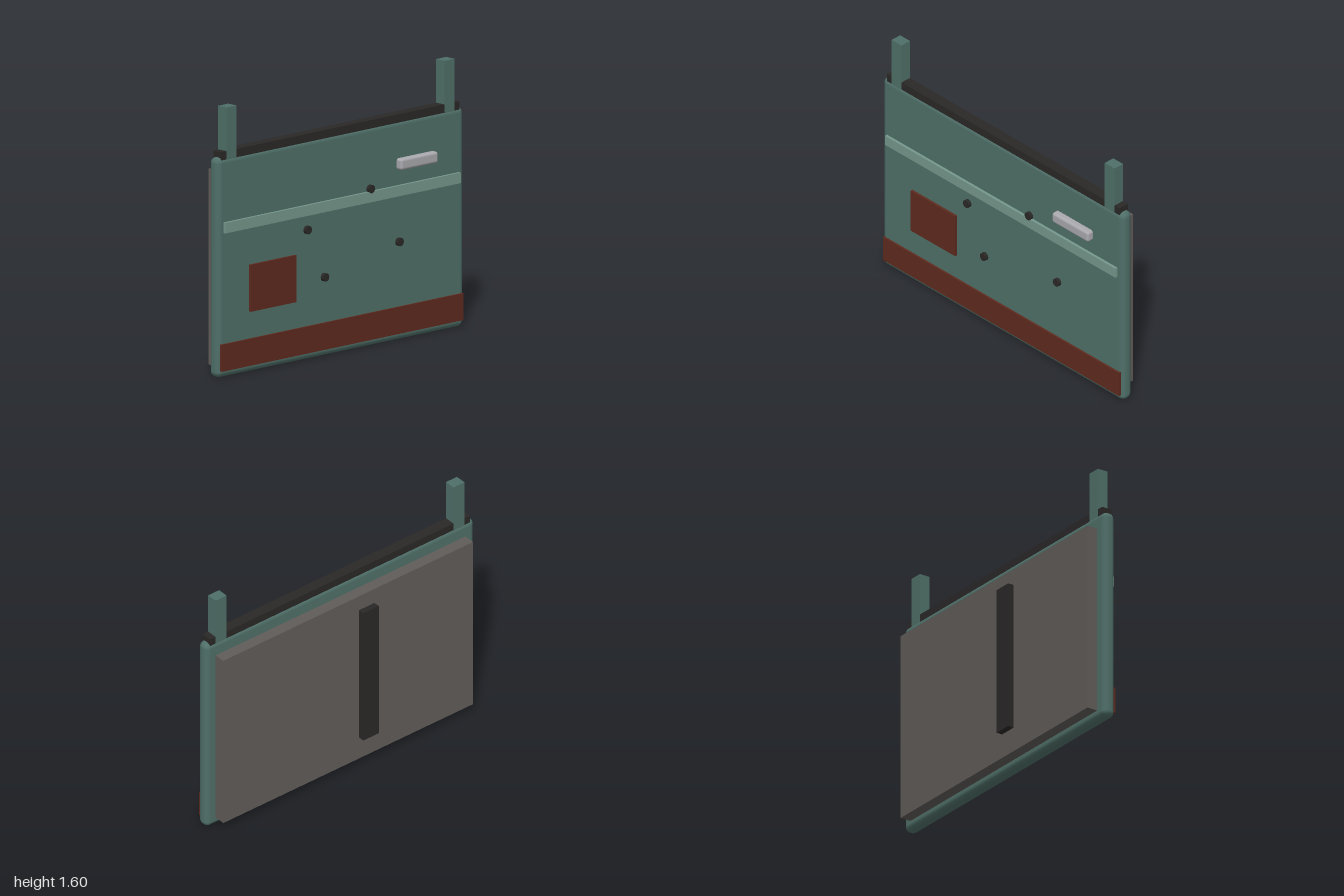
import * as THREE from 'three';
import { RoundedBoxGeometry } from 'three/addons/geometries/RoundedBoxGeometry.js';

const paint = (color) => new THREE.MeshStandardMaterial({ color });
const green = paint(0x4f6f68);
const paleGreen = paint(0x76988c);
const rust = paint(0x5e2a1e);
const rubber = paint(0x2a2827);
const lining = paint(0x605c59);
const metal = paint(0xa9a9ae);

export function createModel() {
  const model = new THREE.Group();

  // Box given by its [min, max] extents; a radius rounds its edges
  function block(name, material, [x0, x1], [y0, y1], [z0, z1], radius = 0) {
    const size = [x1 - x0, y1 - y0, z1 - z0];
    const geometry = radius
      ? new RoundedBoxGeometry(...size, 4, radius)
      : new THREE.BoxGeometry(...size);
    const mesh = new THREE.Mesh(geometry, material);
    mesh.name = name;
    mesh.position.set((x0 + x1) / 2, (y0 + y1) / 2, (z0 + z1) / 2);
    model.add(mesh);
  }

  // Door slab and the window seal along its top
  block('doorPanel', green, [-0.007, 0.073], [0, 1.303], [-1, 1], 0.035);
  block('windowSeal', rubber, [0, 0.067], [1.27, 1.337], [-0.967, 0.967]);

  // Window frame stubs
  for (const side of [-1, 1]) {
    const z = side * 0.885;
    block('windowPost', green, [-0.001, 0.068], [1.28, 1.595], [z - 0.041, z + 0.041]);
  }

  // Inner lining and its pull strap
  block('innerLining', lining, [-0.077, -0.004], [0.05, 1.21], [-0.93, 0.928]);
  block('pullStrap', rubber, [-0.116, -0.07], [0.2, 1.11], [0.08, 0.195]);

  // Outer trim, rust and handle
  block('trimStrip', paleGreen, [0.06, 0.09], [0.857, 0.92], [-0.955, 0.958]);
  block('rustStrip', rust, [0.05, 0.085], [0.04, 0.2], [-0.98, 0.98]);
  block('rustPatch', rust, [0.06, 0.088], [0.36, 0.638], [0.378, 0.748]);
  block('doorHandle', metal, [0.062, 0.114], [1.012, 1.08], [-0.752, -0.45], 0.016);

  // Bullet holes: short dark plugs facing outward
  const plug = new THREE.CylinderGeometry(0.025, 0.025, 0.03, 12).rotateZ(-Math.PI / 2);
  for (const [z, y] of [[0.282, 0.772], [-0.23, 0.935], [0.142, 0.47], [-0.464, 0.585]]) {
    const hole = new THREE.Mesh(plug, rubber);
    hole.name = 'bulletHole';
    hole.position.set(0.079, y, z);
    model.add(hole);
  }

  return model;
}
